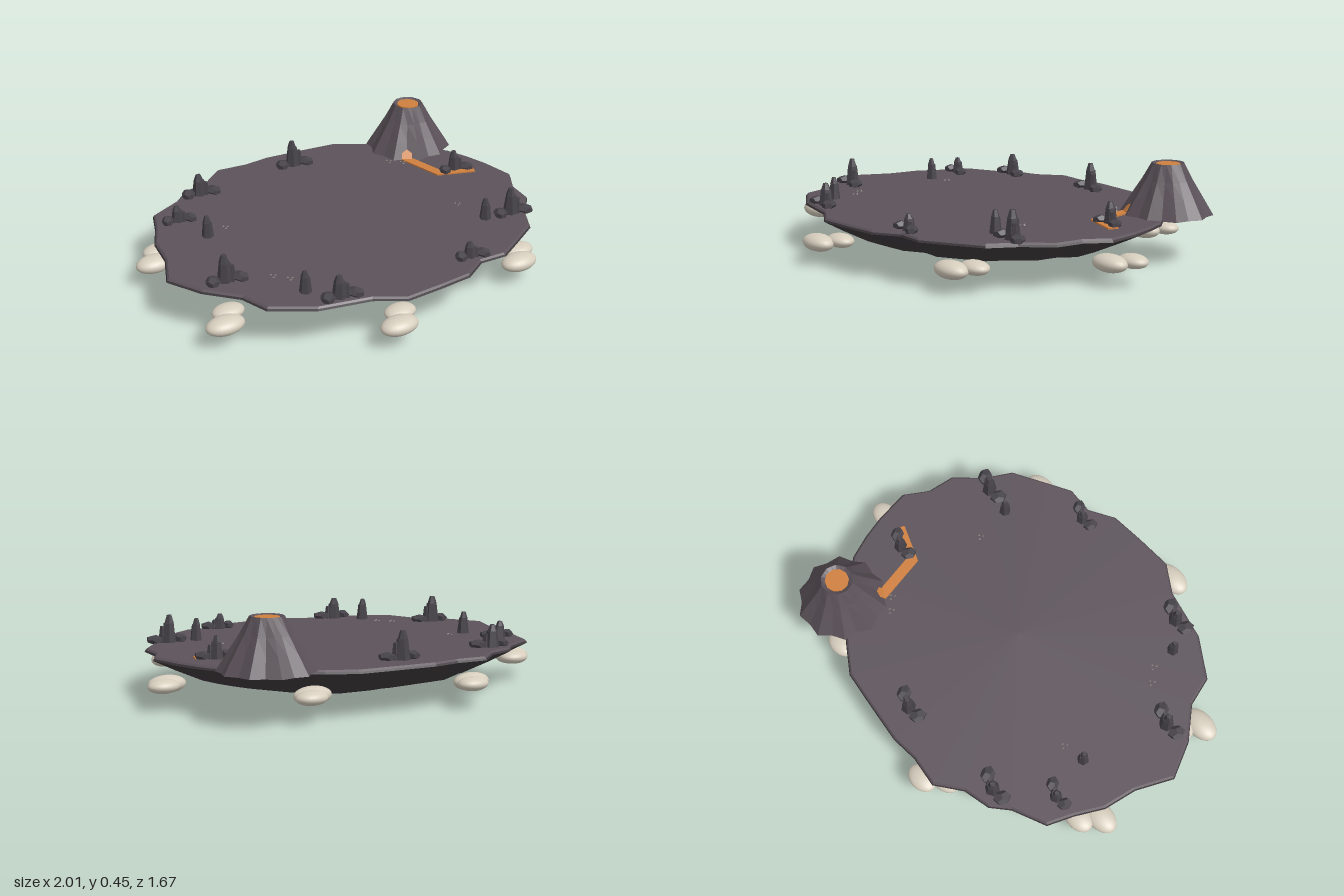
import * as THREE from 'three';

const mat = (name, color, side = THREE.FrontSide) => {
  const m = new THREE.MeshStandardMaterial({ color, side, flatShading: true });
  m.name = name;
  return m;
};

// Closed loops of points, ordered from the inside/top down, skinned into a surface
function skin(loops) {
  const n = loops[0].length, index = [];
  for (let i = 0; i < loops.length - 1; i++) {
    for (let j = 0; j < n; j++) {
      const a = i * n + j, b = i * n + (j + 1) % n;
      index.push(a, b, a + n, b, b + n, a + n);
    }
  }
  const g = new THREE.BufferGeometry();
  g.setAttribute('position', new THREE.Float32BufferAttribute(loops.flat(2), 3));
  g.setIndex(index);
  const flat = g.toNonIndexed();
  flat.computeVertexNormals();
  return flat;
}

// Ragged island outline as x, z pairs
const OUTLINE = [
  [.87, -.21], [.9, -.09], [.92, .07], [.85, .18], [.83, .31], [.72, .43], [.65, .55], [.49, .64],
  [.38, .7], [.25, .69], [.13, .76], [-.03, .77], [-.21, .775], [-.34, .69], [-.58, .63], [-.76, .51],
  [-.8, .37], [-.92, .23], [-1, .06], [-.92, -.11], [-.89, -.27], [-.82, -.4], [-.77, -.52],
  [-.61, -.59], [-.53, -.66], [-.4, -.69], [-.28, -.78], [-.13, -.76], [0, -.77], [.2, -.745], [.38, -.72],
  [.5, -.64], [.62, -.55], [.75, -.42], [.83, -.32],
];

export function createModel() {
  const root = new THREE.Group();
  const ground = mat('ash ground', 0x5c535a);
  const cone = mat('volcano rock', 0x5a5158, THREE.DoubleSide);
  const under = mat('dark underside rock', 0x403a3f);
  const basalt = mat('basalt', 0x47434a);
  const lava = mat('lava', 0xd0803f);
  const cloud = mat('pale stone', 0xd6cdbd);
  cloud.flatShading = false;
  const gravel = mat('gravel', 0x8a8580);

  const add = (name, geo, material, pos = [0, 0, 0], parent = root) => {
    const m = new THREE.Mesh(geo, material);
    m.name = name;
    m.position.set(...pos);
    parent.add(m);
    return m;
  };

  // Island: flat top and a shallow bowl below
  const ring = ([s, y]) => OUTLINE.map(([x, z]) => [x * s, y, z * s]);
  add('islandTop', skin([[0, .22], [.985, .22], [.995, .212]].map(ring)), ground);
  add('islandUnderside', skin([[.995, .212], [1, .203], [.88, .15], [.74, .093], [.4, .027],
    [.04, .004], [0, 0]].map(ring)), under);

  // Fluted volcano with an open base hanging over the edge
  const volcano = new THREE.Group();
  volcano.name = 'volcano';
  volcano.position.set(.695, 0, -.5);
  root.add(volcano);
  const fluted = ([r, y, wave]) => Array.from({ length: 20 }, (_, i) => {
    const a = i / 20 * Math.PI * 2;
    const k = r * (1 + wave * (i % 2 ? -1 : 1) + wave * .4 * Math.sin(3 * a));
    return [k * Math.cos(a), y, k * Math.sin(a)];
  });
  add('volcanoCone', skin([[.054, .44, 0], [.073, .452, .02], [.112, .375, .04],
    [.156, .3, .05], [.205, .217, .05]].map(fluted)), cone, [0, 0, 0], volcano);
  add('craterLava', new THREE.CylinderGeometry(.056, .056, .008, 10), lava, [0, .444, 0], volcano);

  // Lava stream: inside the cone, then bending across the ground
  const path = [[.64, .36, -.43], [.58, .223, -.34], [.62, .223, -.125], [.775, .223, -.065]]
    .map(p => new THREE.Vector3(...p));
  for (let i = 0; i < 3; i++) {
    const len = path[i].distanceTo(path[i + 1]);
    const strip = add('lavaStream', new THREE.BoxGeometry(.05, .008, len + (i ? .03 : 0)), lava);
    strip.position.lerpVectors(path[i], path[i + 1], .5);
    strip.lookAt(path[i + 1]);
  }

  // Pairs of smooth oval stones around the hull
  const ball = new THREE.SphereGeometry(1, 24, 16);
  const stones = [[.87, .04], [.52, .63], [-.26, .775], [-.88, .36], [-.885, -.29], [-.26, -.7], [.5, -.55]];
  for (const [x, z] of stones) {
    add('ovalStoneLarge', ball, cloud, [x, .1, z]).scale.set(.092, .04, .06);
    add('ovalStoneSmall', ball, cloud, [x + .06, .108, z - .08]).scale.set(.076, .032, .056);
  }

  // Basalt spires: x, z, height, and whether boulders flank them
  const spires = [
    [-.48, -.59, .105, 1], [-.7, -.4, .08, .85], [-.655, -.19, .105, 0], [-.79, .21, .13, 1],
    [-.55, .485, .105, 0], [-.45, .6, .105, 1], [.23, .63, .075, .85], [.07, -.62, .13, 1],
    [.515, .38, .105, 0], [.65, .4, .13, 1], [.71, -.12, .105, .9],
  ];
  spires.forEach(([x, z, h, rocks], i) => {
    const g = new THREE.Group();
    g.name = 'spireCluster';
    g.position.set(x, .218, z);
    root.add(g);
    const w = rocks === 0 ? .8 : rocks;
    const spire = add('spire', new THREE.CylinderGeometry(.025 * w, .036 * w, h * .72, 6), basalt, [0, h * .36, 0], g);
    spire.rotation.y = i;
    add('spireTip', new THREE.CylinderGeometry(.012 * w, .024 * w, h * .3, 6), basalt, [-.003, h * .85, 0], g)
      .rotation.y = i;
    if (!rocks) return;
    for (const s of [-1, 1]) {
      const rock = add('boulder', new THREE.DodecahedronGeometry(1), basalt,
        [s * .062 * rocks, .016, .015 + s * .012], g);
      rock.scale.set(.034 * rocks, .022, .044 * rocks);
      rock.rotation.y = s * .5;
    }
    add('sideSpire', new THREE.CylinderGeometry(.012 * w, .022 * w, h * .6, 5), basalt,
      [.026 * w, h * .3, .012], g);
  });

  // Scattered gravel
  const bits = [[.49, -.37], [.54, -.32], [-.55, -.21], [.49, .2], [-.6, .3], [-.55, .36]];
  for (const [x, z] of bits) {
    for (let k = 0; k < 3; k++) {
      const a = k * 2.1;
      add('gravel', new THREE.OctahedronGeometry(.006), gravel,
        [x + .011 * Math.cos(a), .224, z + .014 * Math.sin(a)]);
    }
  }
  return root;
}
